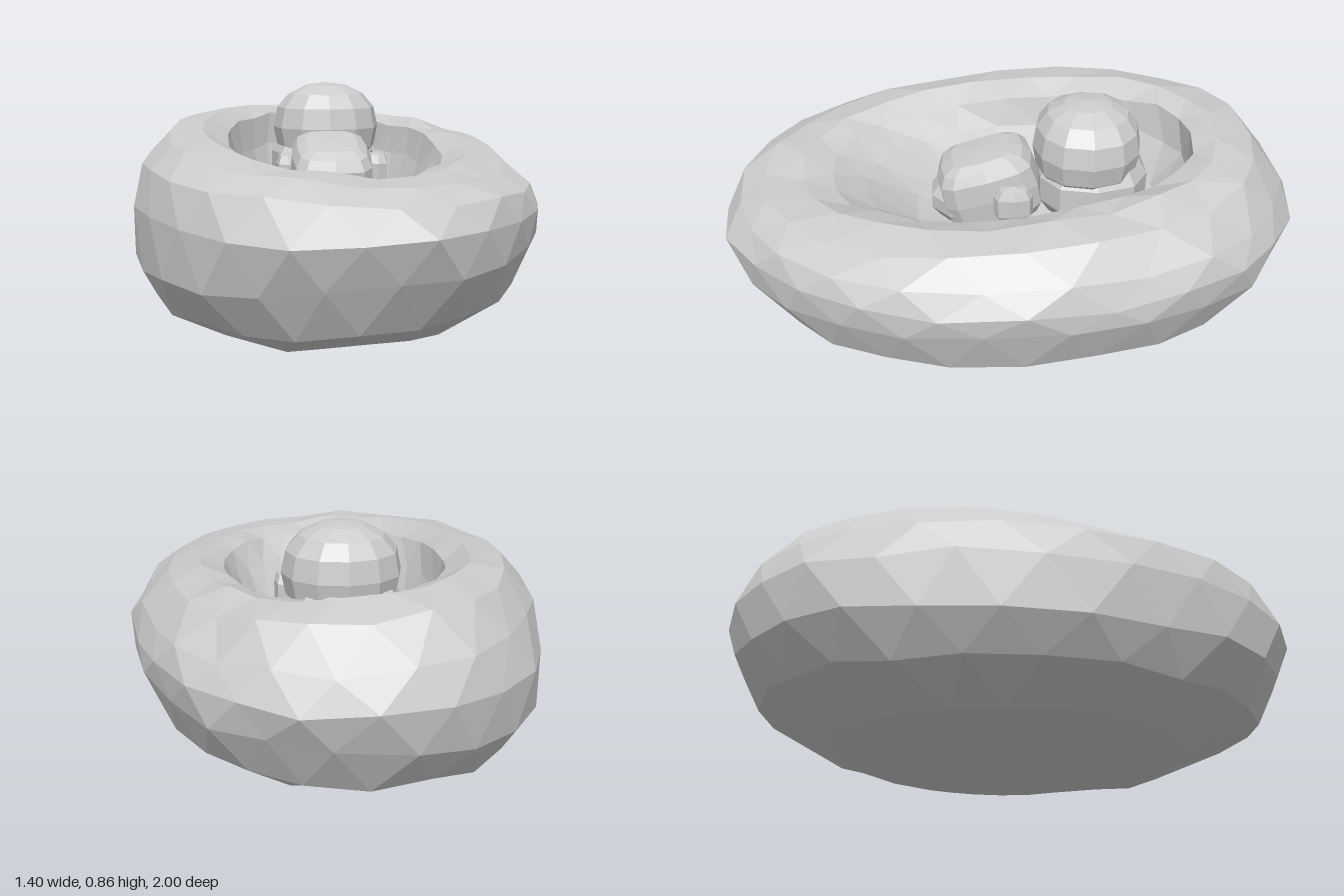
import * as THREE from 'three';

const material = new THREE.MeshStandardMaterial({ color: 0xcccccc, flatShading: true });

// small seeded random generator for the hand-cut facets
function seeded(seed) {
  return () => {
    seed = (seed * 16807) % 2147483647;
    return seed / 2147483647 - 0.5;
  };
}

// power curve that keeps the sign; below 1 it squares off a round shape
const bend = (v, power) => Math.sign(v) * Math.pow(Math.abs(v), power);

// faceted ellipsoid; powers below 1 make it boxier along x, y or z
function blob(name, position, radii, powers = [1, 1, 1], wide = 10, high = 7) {
  const geometry = new THREE.SphereGeometry(1, wide, high);
  const p = geometry.attributes.position;
  for (let i = 0; i < p.count; i++) {
    const v = [p.getX(i), p.getY(i), p.getZ(i)].map((c, k) => bend(c, powers[k]) * radii[k]);
    p.setXYZ(i, ...v);
  }
  geometry.computeVertexNormals();
  const mesh = new THREE.Mesh(geometry, material);
  mesh.name = name;
  mesh.position.set(...position);
  return mesh;
}

// oval rings from the underside, over the rim and down to the inner floor:
// [half width, half length, centre z, height, fall to the front, rise to the left]
const rings = [
  [0, 0, 0, 0.0, 0, 0],
  [0.27, 0.36, 0, 0.022, -0.04, 0.0],
  [0.47, 0.62, 0, 0.08, 0, 0.03],
  [0.63, 0.865, 0, 0.2, 0, 0.06],
  [0.7, 0.955, 0, 0.345, 0, 0.08],
  [0.7, 0.995, 0, 0.48, 0, 0.0],
  [0.66, 0.945, 0, 0.585, 0, -0.04],
  [0.57, 0.85, 0, 0.665, 0.05, -0.06],
  [0.46, 0.72, 0, 0.685, 0.075, -0.06],
  [0.375, 0.635, -0.01, 0.66, 0.075, -0.05],
  [0.34, 0.57, -0.06, 0.57, 0.03, -0.03],
  [0.28, 0.44, -0.1, 0.45, 0, 0],
  [0.15, 0.25, -0.1, 0.4, 0, 0],
  [0, 0, -0.1, 0.38, 0, 0],
];

function basketGeometry(segments = 24) {
  const random = seeded(41);
  const positions = [];
  const index = [];
  rings.forEach(([rx, rz, cz, y, fall, rise], r) => {
    const turned = (r + 1) % 2;
    for (let s = 0; s < segments; s++) {
      const a = ((s + turned * 0.5) / segments) * Math.PI * 2;
      const wobble = 1 + random() * 0.025;
      // the back end is blunter than the front
      const x = bend(Math.sin(a), Math.cos(a) < 0 ? 0.87 : 0.93) * rx * wobble;
      const z = cz + bend(Math.cos(a), 0.95) * rz * wobble;
      const lift = rx > 0.3 ? random() * 0.025 : 0;
      positions.push(x, y - fall * z + rise * x + lift, z);
      if (r === 0) continue;
      const n = (s + 1) % segments;
      const low = (r - 1) * segments;
      const top = r * segments;
      // alternate the diagonals because every other ring is turned half a step
      if (turned) index.push(low + s, low + n, top + s, low + n, top + n, top + s);
      else index.push(low + s, low + n, top + n, low + s, top + n, top + s);
    }
  });
  const geometry = new THREE.BufferGeometry();
  geometry.setAttribute('position', new THREE.Float32BufferAttribute(positions, 3));
  geometry.setIndex(index);
  geometry.computeVertexNormals();
  return geometry;
}

export function createModel() {
  const model = new THREE.Group();
  model.name = 'dollInBasket';

  // padded oval basket with a hollow
  const basket = new THREE.Mesh(basketGeometry(), material);
  basket.name = 'basket';
  model.add(basket);

  // doll lying in the hollow
  const doll = new THREE.Group();
  doll.name = 'doll';
  doll.add(blob('head', [0, 0.69, -0.27], [0.2, 0.167, 0.19], [1, 0.85, 0.85], 12, 8));
  doll.add(blob('hood', [-0.01, 0.55, -0.29], [0.2, 0.14, 0.2], [0.8, 0.75, 0.8]));
  // torso slopes down towards the feet
  const torso = blob('torso', [-0.01, 0.54, 0.07], [0.145, 0.14, 0.18], [0.5, 0.6, 0.55], 12, 8);
  torso.rotation.x = 0.25;
  doll.add(torso);
  doll.add(blob('legs', [-0.02, 0.49, 0.12], [0.15, 0.11, 0.17]));
  for (const side of [-1, 1]) {
    const name = side > 0 ? 'leftArm' : 'rightArm';
    doll.add(blob(name, [side * 0.16, 0.55, 0], [0.042, 0.07, 0.07], [0.65, 0.65, 0.65], 8, 5));
  }
  model.add(doll);
  return model;
}
